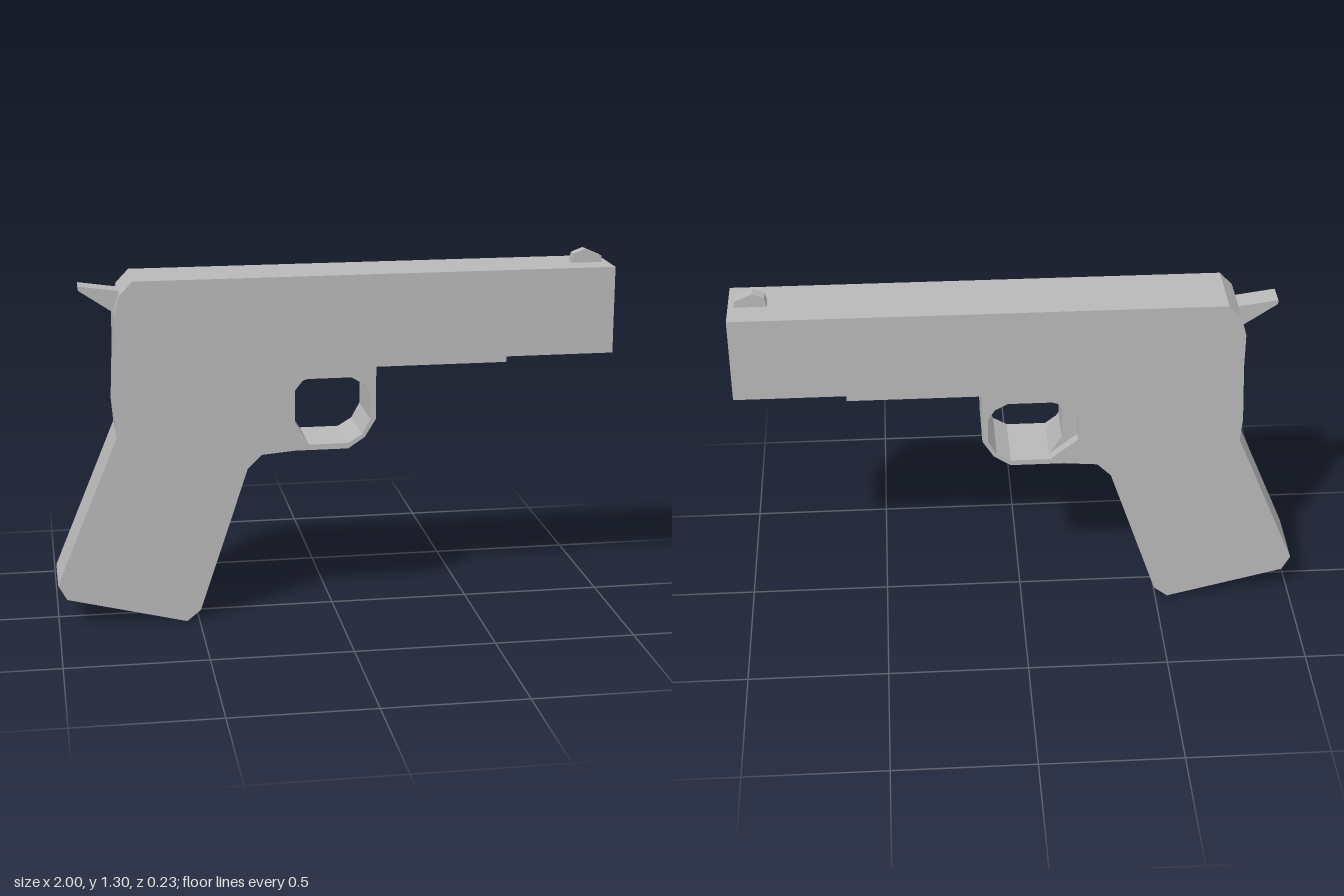
import * as THREE from 'three';

const grey = new THREE.MeshStandardMaterial({ color: 0xb8b8b8 });
grey.name = 'plain grey';

const toPoints = (list) => list.map(([x, y]) => new THREE.Vector2(x, y));

// Extrudes a side profile symmetrically about z = 0
function plate(name, outline, halfWidth, hole) {
  const shape = new THREE.Shape(toPoints(outline));
  if (hole) shape.holes.push(new THREE.Path(toPoints(hole)));
  const geometry = new THREE.ExtrudeGeometry(shape, { depth: 2 * halfWidth, bevelEnabled: false });
  geometry.translate(0, 0, -halfWidth);
  const mesh = new THREE.Mesh(geometry, grey);
  mesh.name = name;
  return mesh;
}

export function createModel() {
  const group = new THREE.Group();
  group.name = 'blockyProp';

  // Grip, guard and barrel block in one silhouette
  const body = [
    [-1, 0.16], [-0.97, 0.105], [-0.545, 0], [-0.495, 0.04],
    [-0.32, 0.56], [-0.27, 0.61], [-0.15, 0.62], [0.04, 0.62], [0.1, 0.66], [0.14, 0.725],
    [0.14, 0.915], [0.61, 0.915], [0.61, 0.935], [1, 0.935], [1, 1.247],
    [-0.71, 1.247], [-0.755, 1.2], [-0.775, 1.13], [-0.775, 1.0], [-0.785, 0.78], [-0.778, 0.695],
  ];
  // Opening inside the guard
  const opening = [
    [-0.2, 0.815], [-0.17, 0.86], [-0.105, 0.88], [0.05, 0.88], [0.095, 0.855], [0.12, 0.815],
    [0.12, 0.725], [0.09, 0.67], [0.04, 0.64], [-0.1, 0.64], [-0.2, 0.72],
  ];
  group.add(plate('body', body, 0.117, opening));

  // Trigger, slightly narrower than the body
  group.add(plate('trigger', [
    [-0.2, 0.72], [-0.1, 0.64], [-0.145, 0.71], [-0.145, 0.83],
    [-0.105, 0.88], [-0.17, 0.86], [-0.2, 0.815],
  ], 0.08));

  // Rear hammer
  group.add(plate('hammer', [
    [-0.893, 1.22], [-0.893, 1.205], [-0.775, 1.125], [-0.74, 1.13], [-0.74, 1.198],
  ], 0.04));

  // Front sight
  group.add(plate('frontSight', [
    [0.865, 1.24], [0.98, 1.24], [0.975, 1.27], [0.915, 1.296], [0.873, 1.28],
  ], 0.02));

  return group;
}
